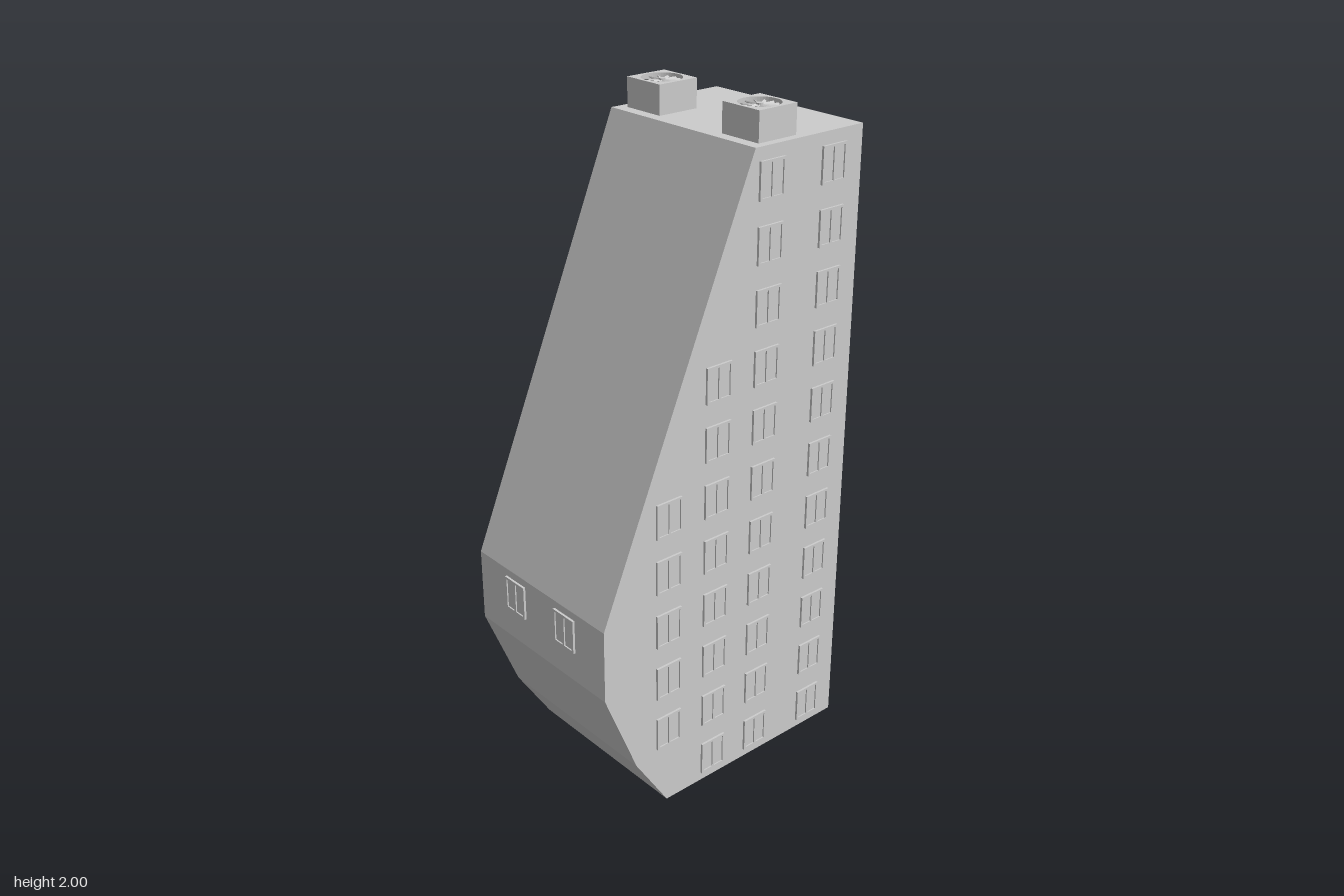
import * as THREE from 'three';
import { mergeGeometries } from 'three/addons/utils/BufferGeometryUtils.js';

const W = 0.29, BACK = -0.46, TOP = 1.915;        // half width, back wall, roof
const NX = -0.055, NZ = -0.25, NH = 0.175;        // corner entrance recess
const grey = new THREE.MeshStandardMaterial({ color: 0xcccccc, flatShading: true });

function mesh(name, geometry) {
  const m = new THREE.Mesh(geometry, grey);
  m.name = name;
  return m;
}

function box(w, h, d, x, y, z) {
  return new THREE.BoxGeometry(w, h, d).translate(x, y, z);
}

// Sweep an open [z, y] path across x, giving outward-facing wall strips
function strip(path, x0, x1) {
  const pos = [], uv = [];
  for (let i = 0; i < path.length - 1; i++) {
    const [pz, py] = path[i], [qz, qy] = path[i + 1];
    pos.push(x0, py, pz, x1, py, pz, x1, qy, qz, x0, py, pz, x1, qy, qz, x0, qy, qz);
    uv.push(0, 0, 1, 0, 1, 1, 0, 0, 1, 1, 0, 1);
  }
  const g = new THREE.BufferGeometry();
  g.setAttribute('position', new THREE.Float32BufferAttribute(pos, 3));
  g.setAttribute('uv', new THREE.Float32BufferAttribute(uv, 2));
  g.computeVertexNormals();
  return g;
}

// Flat wall at a given x from a [z, y] outline, facing +x or -x
function sideWall(path, x, dir) {
  const shape = new THREE.Shape(path.map(([z, y]) => new THREE.Vector2(-dir * z, y)));
  return new THREE.ShapeGeometry(shape).rotateY(dir * Math.PI / 2).translate(x, 0, 0).toNonIndexed();
}

function buildBody() {
  const outer = [[NZ, 0], [0.235, 0], [0.35, 0.18], [0.46, 0.455], [0.46, 0.68],
    [-0.06, TOP], [BACK, TOP], [BACK, NH]];
  return mergeGeometries([
    strip(outer, -W, W),
    strip([[BACK, NH], [BACK, 0], [NZ, 0]], NX, W),
    strip([[BACK, NH], [NZ, NH], [NZ, 0]], -W, NX),
    sideWall([...outer, [BACK, 0]], W, 1),
    sideWall([...outer, [NZ, NH]], -W, -1),
    sideWall([[BACK, 0], [NZ, 0], [NZ, NH], [BACK, NH]], NX, -1),
  ]);
}

// Two-pane window facing +z with its back on z = 0
function windowGeometry(w, h) {
  const t = 0.007, d = 0.007;
  const parts = [box(w - t, h - t, 0.003, 0, 0, 0.0015)];
  for (const s of [-1, 1]) {
    parts.push(box(t, h, d, s * (w - t) / 2, 0, d / 2));
    parts.push(box(w - 2 * t, t, d, 0, s * (h - t) / 2, d / 2));
  }
  parts.push(box(t, h - 2 * t, d, 0, 0, d / 2));
  return mergeGeometries(parts);
}

function buildWindows() {
  const group = new THREE.Group();
  group.name = 'windows';
  const geo = windowGeometry(0.09, 0.106);
  const add = (name, x, row, z, turn) => {
    const m = mesh(name, geo);
    m.position.set(x, 0.08 + row * 0.1745, z);
    m.rotation.y = turn;
    group.add(m);
  };
  // Side columns: [z, lowest row, highest row], following the slanted front
  const columns = [[-0.35, 0, 10], [-0.12, 0, 10], [0.055, 0, 7], [0.23, 1, 5]];
  for (const [z, low, high] of columns) {
    for (let r = low; r <= high; r++) {
      add('leftWindow', W, r, z, Math.PI / 2);
      if (r > 0 || z > NZ) add('rightWindow', -W, r, z, -Math.PI / 2);
    }
  }
  for (const x of [-0.115, 0.115]) {
    for (let r = x < 0 ? 1 : 0; r <= 10; r++) add('backWindow', x, r, BACK, Math.PI);
    add('frontWindow', x, 3, 0.46, 0);
  }
  return group;
}

// Entrance door on the recess wall
function buildDoor() {
  const parts = [box(0.08, 0.135, 0.006, 0, 0.0675, 0.003), box(0.1, 0.01, 0.012, 0, 0.14, 0.006)];
  for (const s of [-1, 1]) parts.push(box(0.01, 0.135, 0.012, s * 0.045, 0.0675, 0.006));
  parts.push(box(0.006, 0.03, 0.016, 0.028, 0.07, 0.008));
  const door = mesh('entranceDoor', mergeGeometries(parts));
  door.rotation.y = Math.PI;
  door.position.set(-0.13, 0, NZ);
  return door;
}

// Rooftop cooling unit with a fan sunk into its top
function buildRoofUnit(x) {
  const unit = new THREE.Group();
  unit.name = 'roofUnit';
  const h = 0.085, w = 0.069, d = 0.068, r = 0.059, sink = 0.02;

  const outline = new THREE.Shape([[-w, -d], [w, -d], [w, d], [-w, d]].map((p) => new THREE.Vector2(...p)));
  outline.holes.push(new THREE.Path().absarc(0, 0, r, 0, Math.PI * 2, true));
  const rim = new THREE.ExtrudeGeometry(outline, { depth: sink, bevelEnabled: false, curveSegments: 24 });
  unit.add(mesh('unitRim', rim.rotateX(-Math.PI / 2).translate(0, h - sink, 0)));
  unit.add(mesh('unitCase', box(2 * w, h - sink, 2 * d, 0, (h - sink) / 2, 0)));

  const blades = [new THREE.CylinderGeometry(0.01, 0.01, 0.014, 12)];
  for (let i = 0; i < 12; i++) {
    blades.push(box(0.045, 0.003, 0.008, 0, 0, 0).rotateX(0.5)
      .translate(0.03, 0, 0).rotateY(i * Math.PI / 6));
  }
  const fan = mesh('fan', mergeGeometries(blades));
  fan.position.y = h - 0.009;
  unit.add(fan);

  // Service panel flanked by two rounded pipes on the rear
  const rear = [box(0.06, 0.035, 0.006, 0, 0.048, -d - 0.003), box(0.036, 0.012, 0.012, 0, 0.05, -d - 0.006)];
  for (const s of [-1, 1]) {
    rear.push(new THREE.CylinderGeometry(0.01, 0.01, 0.06, 10).translate(s * 0.032, 0.038, -d));
  }
  unit.add(mesh('rearFittings', mergeGeometries(rear)));

  unit.position.set(x, TOP, -0.163);
  return unit;
}

export function createModel() {
  const model = new THREE.Group();
  model.name = 'towerBlock';
  model.add(mesh('body', buildBody()), buildWindows(), buildDoor());
  for (const x of [-0.193, 0.195]) model.add(buildRoofUnit(x));
  return model;
}
